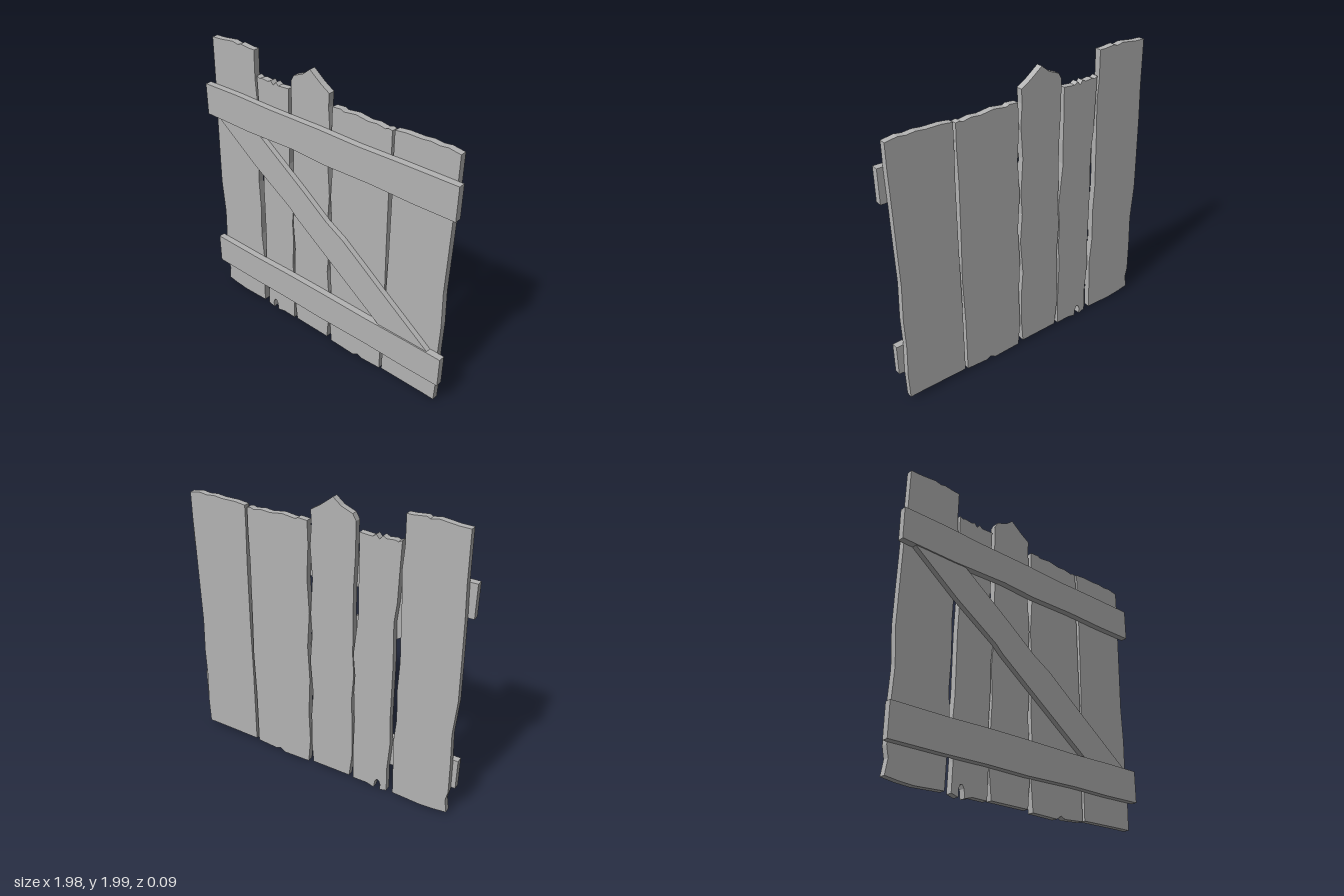
import * as THREE from 'three';

const wood = new THREE.MeshStandardMaterial({ color: 0xb3b3b3 });
wood.name = 'greyWood';

// Flat board cut from an outline, running from z0 to z1
function board(name, points, z0, z1) {
  const shape = new THREE.Shape(points.map(([x, y]) => new THREE.Vector2(x, y)));
  const geo = new THREE.ExtrudeGeometry(shape, { depth: z1 - z0, bevelEnabled: false });
  geo.translate(0, 0, z0);
  const mesh = new THREE.Mesh(geo, wood);
  mesh.name = name;
  return mesh;
}

// Weathered plank outlines, counter-clockwise: bottom, right edge, top, left edge
const planks = {
  plankFarRight: [
    [-0.96, 0.035], [-0.87, 0.022], [-0.77, 0.015], [-0.575, 0.023],
    [-0.57, 0.2], [-0.56, 0.43], [-0.575, 0.62], [-0.567, 0.85], [-0.575, 1.05], [-0.57, 1.2],
    [-0.563, 1.44], [-0.553, 1.66], [-0.563, 1.8], [-0.56, 1.99],
    [-0.6, 1.99], [-0.68, 1.998], [-0.7, 1.988], [-0.75, 1.997], [-0.86, 1.983], [-0.935, 1.98],
    [-0.94, 1.66], [-0.95, 1.44], [-0.957, 1.15], [-0.962, 0.9], [-0.945, 0.65],
    [-0.955, 0.43], [-0.96, 0.2], [-0.945, 0.13],
  ],
  plankRight: [
    [-0.53, 0.02], [-0.48, 0.006], [-0.482, 0.05], [-0.47, 0.08], [-0.455, 0.083], [-0.442, 0.06],
    [-0.435, 0.006], [-0.38, 0.022], [-0.275, 0.02],
    [-0.27, 0.22], [-0.275, 0.5], [-0.265, 0.72], [-0.27, 0.85], [-0.255, 1.0], [-0.27, 1.15],
    [-0.285, 1.3], [-0.28, 1.44], [-0.28, 1.66], [-0.276, 1.82],
    [-0.36, 1.813], [-0.383, 1.83], [-0.405, 1.805], [-0.425, 1.83], [-0.45, 1.817],
    [-0.5, 1.822], [-0.52, 1.815], [-0.545, 1.827],
    [-0.54, 1.66], [-0.535, 1.44], [-0.52, 1.3], [-0.53, 1.0], [-0.53, 0.6], [-0.54, 0.43], [-0.525, 0.2],
  ],
  plankMiddle: [
    [-0.245, 0.027], [-0.1, 0.026], [0.04, 0.025],
    [0.053, 0.2], [0.053, 0.43], [0.04, 0.6], [0.06, 0.85], [0.045, 1.05], [0.055, 1.2],
    [0.04, 1.44], [0.055, 1.66], [0.045, 1.8], [0.05, 1.89],
    [-0.015, 1.93], [-0.1, 1.995], [-0.155, 1.95], [-0.23, 1.92], [-0.253, 1.88],
    [-0.253, 1.66], [-0.245, 1.44], [-0.25, 1.15], [-0.25, 1.0], [-0.262, 0.85],
    [-0.25, 0.65], [-0.26, 0.43], [-0.265, 0.22],
  ],
  plankLeft: [
    [0.08, 0.012], [0.28, 0.006], [0.315, 0.03], [0.35, 0.015], [0.505, 0.025],
    [0.505, 0.43], [0.515, 0.75], [0.51, 1.0], [0.505, 1.44], [0.51, 1.66], [0.508, 1.81],
    [0.485, 1.815], [0.46, 1.806], [0.4, 1.816], [0.34, 1.81], [0.25, 1.822], [0.16, 1.81],
    [0.14, 1.82], [0.075, 1.815],
    [0.07, 1.66], [0.08, 1.44], [0.065, 1.2], [0.08, 0.95], [0.065, 0.7], [0.075, 0.43], [0.065, 0.2],
  ],
  plankFarLeft: [
    [0.525, 0.033], [0.86, 0.036], [0.945, 0.035],
    [0.95, 0.22], [0.94, 0.43], [0.945, 0.65], [0.935, 0.9], [0.94, 1.15], [0.945, 1.44],
    [0.95, 1.66], [0.95, 1.825],
    [0.87, 1.837], [0.82, 1.83], [0.76, 1.836], [0.7, 1.829], [0.6, 1.829], [0.525, 1.82],
    [0.525, 1.66], [0.53, 1.44], [0.53, 1.0], [0.525, 0.6], [0.525, 0.22],
  ],
};

// Slightly uneven cross rails
const rails = {
  lowerRail: [
    [-0.988, 0.215], [-0.6, 0.213], [-0.3, 0.216], [0, 0.211], [0.4, 0.22], [0.7, 0.216], [0.988, 0.22],
    [0.988, 0.436], [0.75, 0.437], [0.4, 0.432], [0, 0.436], [-0.3, 0.436], [-0.6, 0.43], [-0.988, 0.432],
  ],
  upperRail: [
    [-0.988, 1.44], [-0.6, 1.436], [-0.2, 1.45], [0.05, 1.438], [0.4, 1.447], [0.7, 1.442], [0.988, 1.446],
    [0.988, 1.668], [0.6, 1.664], [0.3, 1.657], [0, 1.662], [-0.4, 1.658], [-0.7, 1.663], [-0.988, 1.658],
  ],
};

// Diagonal brace fitted between the rails
const brace = [
  [-0.888, 1.438], [-0.57, 1.2], [-0.26, 1.0], [-0.2, 0.945], [0, 0.8], [0.505, 0.436],
  [0.885, 0.436], [0.5, 0.72], [0.2, 0.945], [0.06, 1.025], [-0.14, 1.175], [-0.51, 1.438],
];

export function createModel() {
  const group = new THREE.Group();
  group.name = 'plankGate';
  for (const [name, pts] of Object.entries(planks)) group.add(board(name, pts, -0.043, 0));
  for (const [name, pts] of Object.entries(rails)) group.add(board(name, pts, 0, 0.045));
  group.add(board('diagonalBrace', brace, 0, 0.036));
  return group;
}
